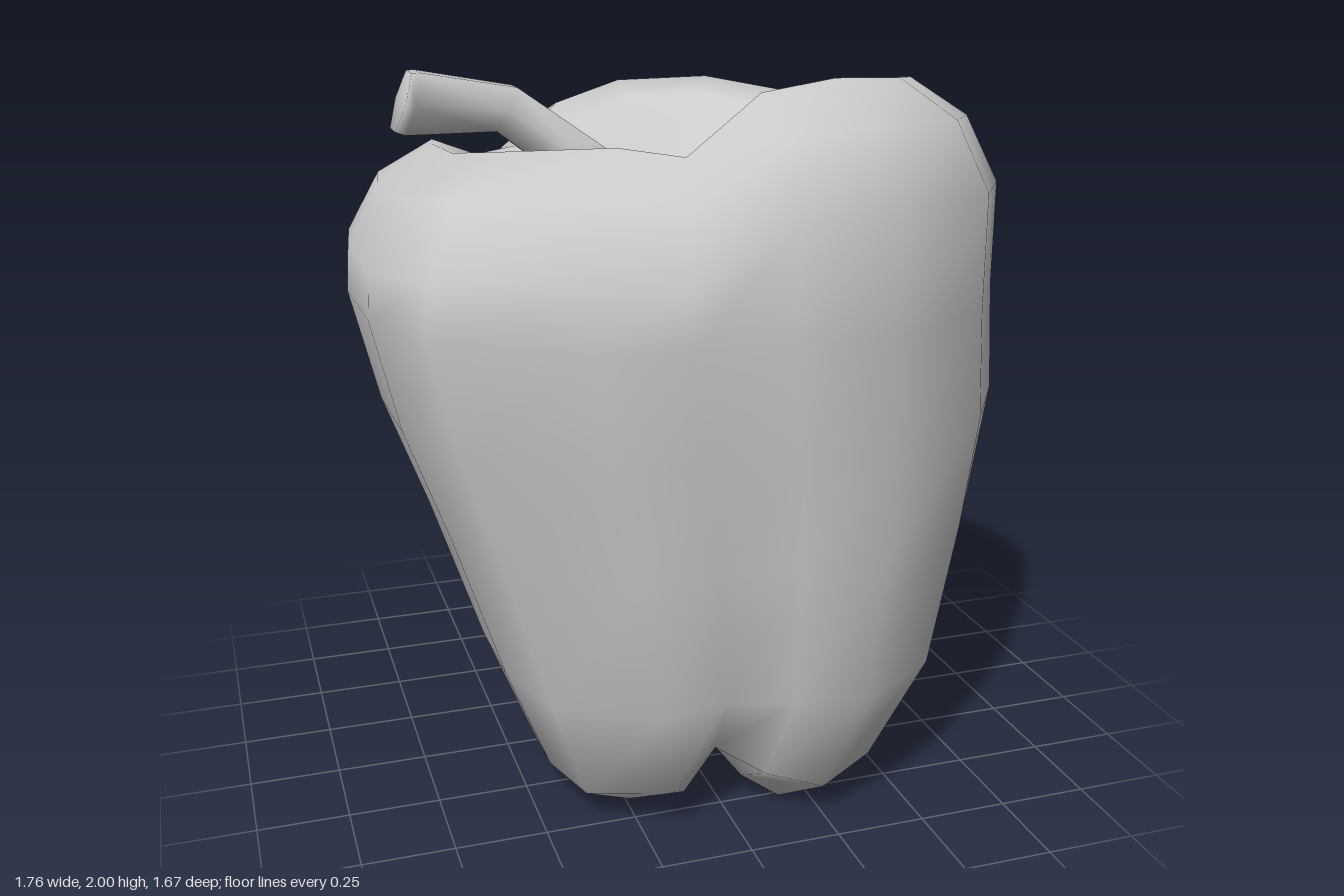
import * as THREE from 'three';
import { mergeVertices } from 'three/addons/utils/BufferGeometryUtils.js';

// Skin a stack of equal-length point rings; points run from +x towards +z, rings run upwards
function loft(rings) {
  const n = rings[0].length;
  const index = [];
  for (let j = 0; j < rings.length - 1; j++) {
    for (let i = 0; i < n; i++) {
      const a = j * n + i, b = j * n + (i + 1) % n;
      index.push(a, a + n, b, b, a + n, b + n);
    }
  }
  const geometry = new THREE.BufferGeometry();
  geometry.setAttribute('position', new THREE.Float32BufferAttribute(rings.flat(2), 3));
  geometry.setIndex(index);
  const merged = mergeVertices(geometry, 1e-4);
  merged.computeVertexNormals();
  return merged;
}

// Plan outline at the widest level: x, z, rim height, groove strength between lobes
const OUTLINE = [
  [0.88, 0.2, 1.95, 0], [0.85, 0.34, 1.96, 0], [0.67, 0.62, 1.98, 0], [0.33, 0.83, 2, 0],
  [0.07, 0.815, 1.97, 0.4], [-0.18, 0.78, 1.82, 1], [-0.42, 0.78, 1.85, 0.25], [-0.77, 0.56, 1.83, 0],
  [-0.87, 0.25, 1.8, 0], [-0.88, -0.1, 1.79, 0], [-0.86, -0.24, 1.79, 0], [-0.8, -0.42, 1.76, 0.3],
  [-0.64, -0.56, 1.71, 1], [-0.45, -0.65, 1.72, 0.5], [-0.23, -0.81, 1.83, 0], [0.05, -0.84, 1.89, 0],
  [0.42, -0.76, 1.9, 0], [0.67, -0.5, 1.87, 0.2], [0.73, -0.24, 1.81, 0.7], [0.83, -0.05, 1.92, 0.2],
];

// Outer wall levels: y, min x, max x, min z, max z, groove depth, groove lift
const WALL = [
  [0.2, 0.04, 0.04, 0.16, 0.16, 0, 0],
  [0.08, -0.1, 0.17, 0.02, 0.31, 0.2, 0.11],
  [0, -0.28, 0.37, -0.17, 0.52, 0.25, 0.15],
  [0.1, -0.45, 0.55, -0.34, 0.67, 0.2, 0.1],
  [0.4, -0.57, 0.72, -0.51, 0.77, 0.11, 0],
  [0.8, -0.7, 0.82, -0.65, 0.8, 0.05, 0],
  [1.1, -0.81, 0.88, -0.75, 0.82, 0.02, 0],
  [1.4, -0.88, 0.87, -0.84, 0.84, 0, 0],
];

// Shoulder and hollow levels: outline scale, drop below the rim, blend to the hollow's floor
const TOP = [
  [0.99, 0.28, 0], [0.89, 0.1, 0], [0.72, 0, 0], [0.59, 0.03, 0.05],
  [0.42, 0.12, 0.5], [0.21, 0.2, 0.95], [0, 0, 1],
];
const FLOOR = 1.48;

function bodyGeometry() {
  const wall = WALL.map(([y, x0, x1, z0, z1, depth, lift]) => OUTLINE.map(([x, z, , groove]) => {
    const k = 1 - depth * groove;
    return [
      (x0 + x1) / 2 + (x / 0.88) * k * (x1 - x0) / 2,
      y + lift * groove,
      (z0 + z1) / 2 + (z / 0.84) * k * (z1 - z0) / 2,
    ];
  }));
  // The shoulder is squarer towards the back
  const top = TOP.map(([s, drop, blend]) => OUTLINE.map(([x, z, rim]) => {
    const square = 1 + 0.5 * Math.min(z, 0);
    return [x * s, THREE.MathUtils.lerp(rim - drop * square, FLOOR, blend), z * s];
  }));
  return loft([...wall, ...top]);
}

// Stem stations: centre x, y, z, radius, lean of the path away from vertical
const STEM = [
  [0, 1.46, -0.03, 0.14, 0.1], [-0.05, 1.58, -0.04, 0.095, 0.5], [-0.22, 1.72, -0.07, 0.08, 0.85],
  [-0.43, 1.875, -0.1, 0.075, 1.1], [-0.7, 1.91, 0, 0.095, 1.3], [-0.725, 1.915, 0.005, 0.09, 1.25],
  [-0.725, 1.915, 0.005, 0, 1.25],
];

function stemGeometry(sides = 6) {
  return loft(STEM.map(([x, y, z, r, lean]) => Array.from({ length: sides }, (_, i) => {
    const a = ((i + 0.5) / sides) * Math.PI * 2;
    const u = Math.cos(a) * r;
    return [x + u * Math.cos(lean), y + u * Math.sin(lean), z + Math.sin(a) * r];
  })));
}

// Uneven, tilted collar around the foot of the stem
function calyxGeometry() {
  const reach = [0.17, 0.17, 0.23, 0.27, 0.2, 0.19, 0.2];
  const ring = (s, y) => reach.map((r, i) => {
    const a = (i / reach.length) * Math.PI * 2;
    const x = Math.cos(a) * r * s;
    return [x, y + 0.15 * x, Math.sin(a) * r * s - 0.03];
  });
  return loft([ring(1, 1.53), ring(0.6, 1.56), ring(0.3, 1.62), ring(0, 1.62)]);
}

export function createModel() {
  const group = new THREE.Group();
  group.name = 'bellPepper';
  const material = new THREE.MeshStandardMaterial({ color: 0xcccccc });
  const thin = new THREE.MeshStandardMaterial({ color: 0xcccccc, side: THREE.DoubleSide });
  const add = (name, geometry, mat) => {
    const mesh = new THREE.Mesh(geometry, mat);
    mesh.name = name;
    group.add(mesh);
  };
  add('body', bodyGeometry(), material);
  add('stem', stemGeometry(), material);
  add('calyx', calyxGeometry(), thin);
  return group;
}
